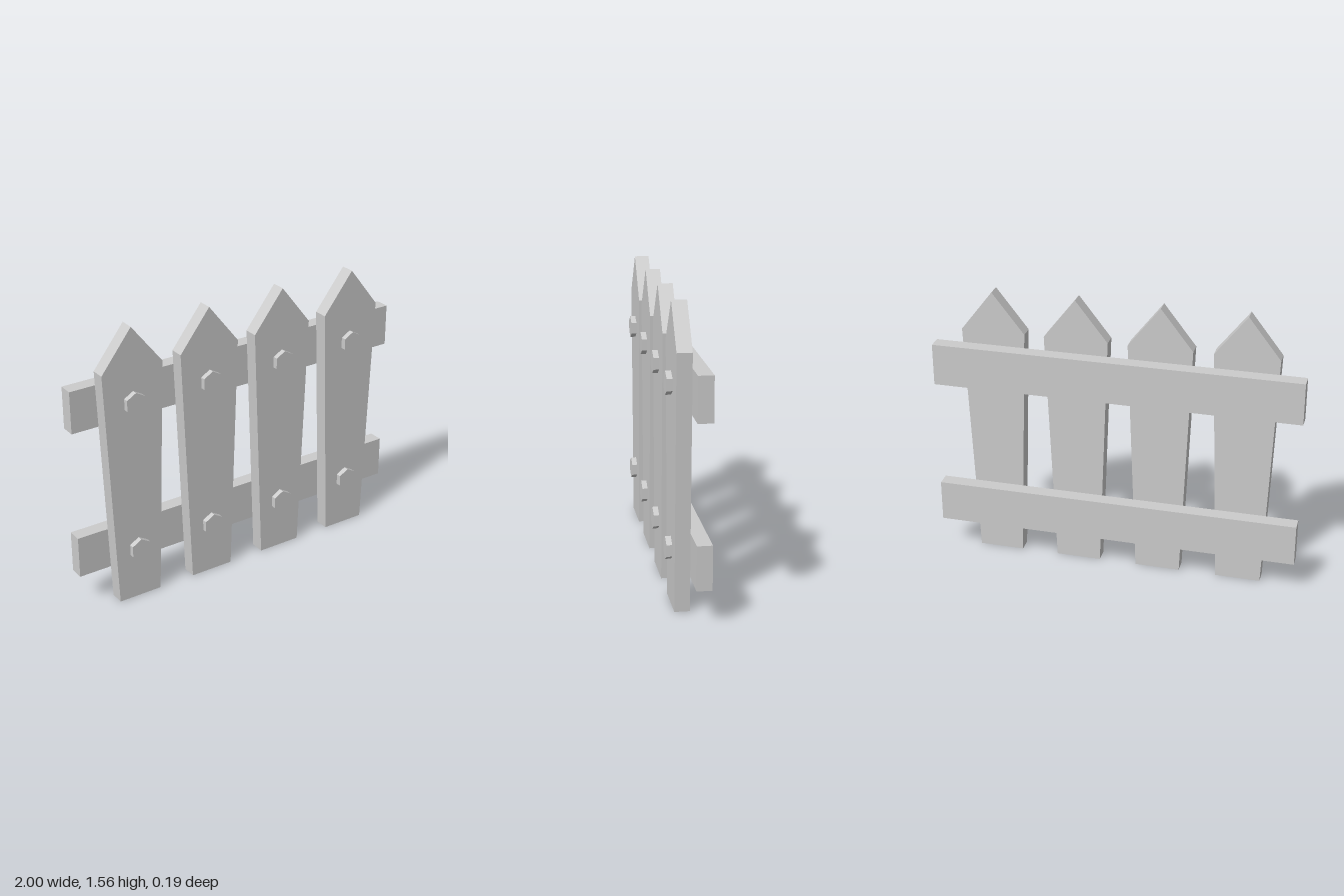
import * as THREE from 'three';

export function createModel() {
  const fence = new THREE.Group();
  fence.name = 'picketFence';
  const material = new THREE.MeshStandardMaterial({ color: 0xcccccc, flatShading: true });

  const add = (name, geometry, x, y, z) => {
    const mesh = new THREE.Mesh(geometry, material);
    mesh.name = name;
    mesh.position.set(x, y, z);
    fence.add(mesh);
  };

  // Depth planes: rail back, rail/picket joint, picket front, bolt front
  const [railBack, joint, picketFront, boltFront] = [-0.093, -0.014, 0.064, 0.093];

  // Tapered picket outline with a pointed top
  const outline = new THREE.Shape([
    [-0.124, 0], [0.124, 0], [0.174, 1.333], [0, 1.556], [-0.174, 1.333],
  ].map(([x, y]) => new THREE.Vector2(x, y)));
  const picket = new THREE.ExtrudeGeometry(outline, {
    depth: picketFront - joint, bevelEnabled: false,
  });

  // Hexagonal bolt head, a corner pointing up
  const boltDepth = boltFront - picketFront;
  const bolt = new THREE.CylinderGeometry(0.061, 0.061, boltDepth, 6).rotateX(Math.PI / 2);

  // Horizontal rails behind the pickets
  const rail = new THREE.BoxGeometry(2, 0.232, joint - railBack);
  add('lowerRail', rail, 0, 0.3, (railBack + joint) / 2);
  add('upperRail', rail, 0, 1.14, (railBack + joint) / 2);

  // Four pickets, each with two bolts
  for (let i = 0; i < 4; i++) {
    const x = -0.685 + i * 0.455;
    add('picket', picket, x, 0, joint);
    for (const y of [0.298, 1.149]) add('bolt', bolt, x, y, picketFront + boltDepth / 2);
  }

  return fence;
}
